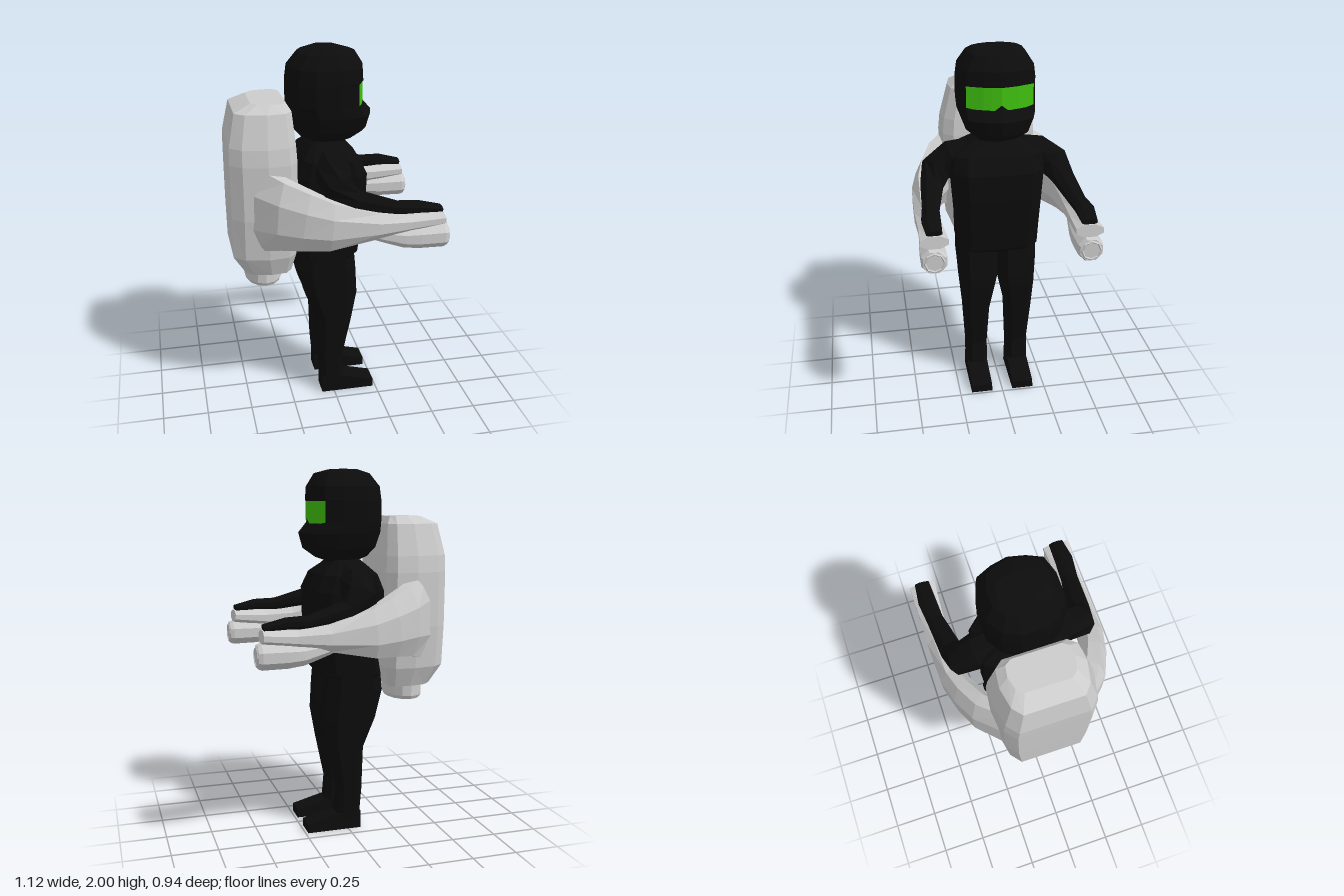
import * as THREE from 'three';

const suit = new THREE.MeshStandardMaterial({ color: 0x0c0c0c, flatShading: true });
const metal = new THREE.MeshStandardMaterial({ color: 0xcccccc, flatShading: true });
const glass = new THREE.MeshStandardMaterial({ color: 0x3fc010, flatShading: true, side: THREE.DoubleSide });

// Closed solid through rings of points; winding is fixed by its signed volume
function loft(rings) {
  const tris = [];
  const n = rings[0].length;
  for (let i = 0; i < rings.length - 1; i++) {
    for (let j = 0; j < n; j++) {
      const k = (j + 1) % n;
      const [a, b, c, d] = [rings[i][j], rings[i][k], rings[i + 1][k], rings[i + 1][j]];
      tris.push([a, b, c], [a, c, d]);
    }
  }
  const cap = (ring, flip) => {
    const mid = ring.reduce((s, p) => s.add(p), new THREE.Vector3()).divideScalar(n);
    ring.forEach((p, j) => {
      const q = ring[(j + 1) % n];
      tris.push(flip ? [mid, q, p] : [mid, p, q]);
    });
  };
  cap(rings[0], true);
  cap(rings[rings.length - 1], false);
  const volume = tris.reduce((v, [a, b, c]) => v + a.dot(b.clone().cross(c)), 0);
  if (volume < 0) tris.forEach(t => t.reverse());
  const geo = new THREE.BufferGeometry().setFromPoints(tris.flat());
  geo.computeVertexNormals();
  return geo;
}

// Horizontal ring: unit outline stretched to the given x and z limits
function levelRing(outline, [y, x0, x1, z0, z1]) {
  return outline.map(([u, v]) => new THREE.Vector3(
    (x0 + x1) / 2 + u * (x1 - x0) / 2, y, (z0 + z1) / 2 + v * (z1 - z0) / 2));
}

// Mirror half an outline (z >= 0) to the other side
const mirrored = half => [...half, ...half.filter(p => p[1] > 0).reverse().map(([u, v]) => [u, -v])];

// Limb along points [x, y, z, half width, half height]
function limb(path, sides = 8) {
  const p = path.map(a => new THREE.Vector3(a[0], a[1], a[2]));
  return loft(path.map(([, , , w, h], i) => {
    const t = p[Math.min(i + 1, p.length - 1)].clone().sub(p[Math.max(i - 1, 0)]).normalize();
    const side = t.clone().cross(new THREE.Vector3(0, 1, 0)).normalize();
    const up = side.clone().cross(t);
    return Array.from({ length: sides }, (_, j) => {
      const a = (j + 0.5) / sides * Math.PI * 2;
      const k = 1 / Math.cos(Math.PI / sides);
      return p[i].clone().addScaledVector(side, Math.cos(a) * w * k).addScaledVector(up, Math.sin(a) * h * k);
    });
  }));
}

export function createModel() {
  const model = new THREE.Group();
  const add = (name, geo, mat) => {
    const mesh = new THREE.Mesh(geo, mat);
    mesh.name = name;
    model.add(mesh);
    return mesh;
  };

  // Helmet, with the chin jutting forward
  const headShape = mirrored([[1, 0], [0.9, 0.45], [0.72, 0.85], [0.25, 1], [-0.4, 1], [-0.8, 0.72], [-1, 0.3]]);
  add('helmet', loft([
    [1.505, -0.09, 0.07, 0.09], [1.53, -0.15, 0.14, 0.12], [1.58, -0.195, 0.21, 0.17],
    [1.66, -0.22, 0.232, 0.2], [1.72, -0.225, 0.18, 0.205], [1.83, -0.225, 0.18, 0.205],
    [1.835, -0.225, 0.19, 0.205], [1.91, -0.215, 0.185, 0.195], [1.98, -0.16, 0.14, 0.15], [2, -0.09, 0.06, 0.115],
  ].map(([y, a, b, w]) => levelRing(headShape, [y, a, b, -w, w]))), suit);

  // Visor band with a notch at the nose
  const visorPoints = [];
  const edge = [[-0.176, 0.128, 1.72], [-0.092, 0.165, 1.705], [-0.05, 0.176, 1.698], [0, 0.186, 1.74],
    [0.05, 0.176, 1.698], [0.092, 0.165, 1.705], [0.176, 0.128, 1.72]];
  for (let i = 0; i < edge.length - 1; i++) {
    const [[z0, x0, y0], [z1, x1, y1]] = [edge[i], edge[i + 1]];
    const q = [[x0, y0, z0], [x0, 1.832, z0], [x1, 1.832, z1], [x1, y1, z1]].map(c => new THREE.Vector3(...c));
    visorPoints.push(q[0], q[1], q[2], q[0], q[2], q[3]);
  }
  const visor = new THREE.BufferGeometry().setFromPoints(visorPoints);
  visor.computeVertexNormals();
  add('visor', visor, glass);

  // Torso
  const bodyShape = mirrored([[1, 0], [0.95, 0.72], [0.62, 1], [-0.75, 1], [-1, 0.75]]);
  add('torso', loft([
    [0.86, -0.18, 0.11, 0.2], [0.89, -0.19, 0.14, 0.222], [1.03, -0.165, 0.16, 0.225], [1.2, -0.2, 0.182, 0.235],
    [1.35, -0.2, 0.185, 0.245], [1.44, -0.165, 0.14, 0.235], [1.49, -0.12, 0.08, 0.15], [1.53, -0.08, 0.05, 0.08],
  ].map(([y, a, b, w]) => levelRing(bodyShape, [y, a, b, -w, w]))), suit);

  // Backpack
  const packShape = mirrored([[1, 0.75], [0.75, 0.95], [0.1, 1], [-0.65, 0.9], [-1, 0.7]]);
  add('backpack', loft([
    [0.81, -0.49, -0.24, 0.2], [0.92, -0.555, -0.215, 0.245], [1.15, -0.557, -0.205, 0.27],
    [1.45, -0.557, -0.205, 0.275], [1.54, -0.555, -0.21, 0.265], [1.71, -0.52, -0.225, 0.22], [1.75, -0.43, -0.25, 0.17],
  ].map(([y, a, b, w]) => levelRing(packShape, [y, a, b, -w, w]))), metal);

  // Hollow exhaust under the pack
  const exhaust = add('exhaust', new THREE.LatheGeometry([
    [0, 0.79], [0.078, 0.78], [0.085, 0.72], [0.098, 0.72], [0.106, 0.74], [0.106, 0.83],
  ].map(([r, y]) => new THREE.Vector2(r, y)), 14), metal);
  exhaust.position.x = -0.38;
  exhaust.scale.z = 1.5;
  exhaust.material = metal.clone();
  exhaust.material.side = THREE.DoubleSide;

  const legShape = [[1, 0.55], [0.6, 1], [-0.6, 1], [-1, 0.55], [-1, -0.55], [-0.6, -1], [0.6, -1], [1, -0.55]];
  for (const [label, s] of [['left', -1], ['right', 1]]) {
    const flip = path => path.map(([x, y, z, w, h]) => [x, y, z * s, w, h]);

    // Leg
    add(label + 'Leg', loft([
      [0.05, -0.07, 0.065, 0.06, 0.182], [0.22, -0.085, 0.05, 0.06, 0.182], [0.47, -0.09, 0.1, 0.05, 0.197],
      [0.64, -0.16, 0.13, 0.015, 0.21], [0.7, -0.175, 0.127, 0, 0.213], [0.8, -0.198, 0.12, 0, 0.22], [0.91, -0.185, 0.11, 0, 0.22],
    ].map(([y, a, b, c, d]) => levelRing(legShape, [y, a, b, c * s, d * s]))), suit);

    // Boot
    add(label + 'Boot', loft([[-0.072, 0.1], [0.065, 0.09], [0.235, 0.045]].map(([x, h]) =>
      [[0, 0.06], [0, 0.182], [h, 0.18], [h, 0.062]].map(([y, z]) => new THREE.Vector3(x, y, z * s)))), suit);

    // Arm, shoulder to fingertips
    add(label + 'Arm', limb(flip([
      [-0.02, 1.4, 0.15, 0.1, 0.09], [-0.025, 1.39, 0.24, 0.09, 0.09], [-0.015, 1.335, 0.33, 0.085, 0.08],
      [0.07, 1.275, 0.362, 0.06, 0.05], [0.28, 1.228, 0.39, 0.045, 0.033],
      [0.4, 1.228, 0.4, 0.049, 0.028], [0.52, 1.21, 0.396, 0.04, 0.016],
    ])), suit);

    // Control arm sweeping forward from the pack
    add(label + 'ControlArm', limb(flip([
      [-0.42, 1.2, 0.18, 0.07, 0.24], [-0.29, 1.195, 0.3, 0.08, 0.19], [-0.18, 1.175, 0.355, 0.075, 0.16],
      [-0.06, 1.155, 0.395, 0.066, 0.13], [0.18, 1.145, 0.405, 0.064, 0.07], [0.35, 1.15, 0.4, 0.064, 0.045], [0.53, 1.165, 0.397, 0.072, 0.033],
    ])), metal);

    // Hollow thruster below the hand rest
    add(label + 'Thruster', limb(flip([
      [0.15, 1.1, 0.4, 0.03, 0.03], [0.22, 1.085, 0.4, 0.04, 0.04], [0.32, 1.068, 0.402, 0.056, 0.056],
      [0.4, 1.066, 0.402, 0.064, 0.064], [0.535, 1.066, 0.402, 0.066, 0.066], [0.555, 1.066, 0.402, 0.058, 0.058],
    ])), metal);
    const bore = new THREE.CylinderGeometry(0.044, 0.044, 0.003, 8);
    bore.rotateZ(Math.PI / 2);
    const rim = new THREE.TorusGeometry(0.05, 0.009, 4, 8);
    rim.rotateY(Math.PI / 2);
    add(label + 'ThrusterBore', bore, metal).position.set(0.5555, 1.066, 0.402 * s);
    add(label + 'ThrusterRim', rim, metal).position.set(0.553, 1.066, 0.402 * s);
  }
  return model;
}
